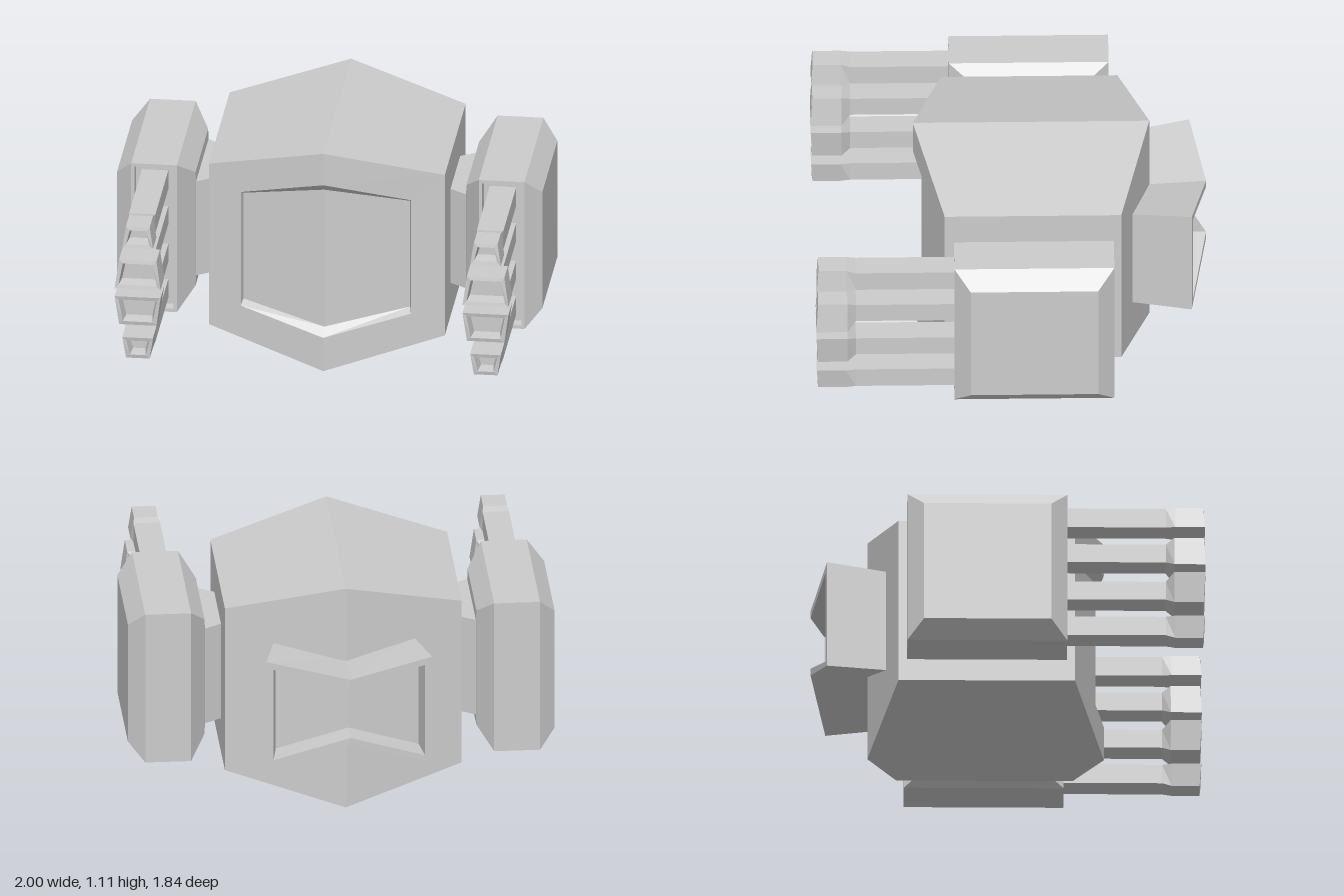
import * as THREE from 'three';

const material = new THREE.MeshStandardMaterial({ color: 0xcccccc, flatShading: true });

// Joins rings of points (clockwise seen from the end they run to) into a faceted solid.
// skip(ringIndex, edgeIndex) leaves a face out; mirror reflects the solid in x.
function loft(name, rings, { startCap = true, endCap = true, skip = () => false, mirror = false } = {}) {
  const pos = [];
  const tri = (a, b, c) => {
    for (const p of mirror ? [a, c, b] : [a, b, c]) pos.push(mirror ? -p[0] : p[0], p[1], p[2]);
  };
  const n = rings[0].length;
  for (let r = 0; r < rings.length - 1; r++) {
    const a = rings[r], b = rings[r + 1];
    for (let i = 0; i < n; i++) {
      if (skip(r, i)) continue;
      const j = (i + 1) % n;
      tri(a[i], b[i], a[j]);
      tri(a[j], b[i], b[j]);
    }
  }
  const first = rings[0], last = rings[rings.length - 1];
  for (let i = 1; i < n - 1; i++) {
    if (startCap) tri(first[0], first[i], first[i + 1]);
    if (endCap) tri(last[0], last[i + 1], last[i]);
  }
  const geometry = new THREE.BufferGeometry();
  geometry.setAttribute('position', new THREE.Float32BufferAttribute(pos, 3));
  geometry.computeVertexNormals();
  const mesh = new THREE.Mesh(geometry, material);
  mesh.name = name;
  return mesh;
}

// Six-sided ring folded along x = 0: half width, side and centre heights, side and centre depth
const hex = (x, sideTop, sideBottom, midTop, midBottom, sideZ, midZ) => [
  [0, midTop, midZ], [x, sideTop, sideZ], [x, sideBottom, sideZ],
  [0, midBottom, midZ], [-x, sideBottom, sideZ], [-x, sideTop, sideZ],
];

// Four-sided ring facing +z, with separate top and bottom half widths
const trapezoid = (x, top, bottom, y0, y1, z) => [
  [x - top, y1, z], [x + top, y1, z], [x + bottom, y0, z], [x - bottom, y0, z],
];

// Rectangular ring facing +x
const slab = (x, y0, y1, z0, z1) => [[x, y1, z1], [x, y1, z0], [x, y0, z0], [x, y0, z1]];

const MID_Y = 0.56;
const POD_X = 0.818;

// Gun barrel with a flared, hollow muzzle; y is measured from the pod's middle
function barrel(shaft, muzzle, top, bottom, flareStart, flareEnd, tip) {
  const [m0, m1] = muzzle;
  const lip = 0.018;
  const front = trapezoid(0, top, bottom, m0, m1, tip);
  front[2][2] = front[3][2] = tip + 0.008;
  return loft('barrel', [
    trapezoid(0, 0.062, 0.062, ...shaft, 0.2),
    trapezoid(0, 0.062, 0.062, ...shaft, flareStart),
    trapezoid(0, top, bottom, m0, m1, flareEnd),
    front,
    trapezoid(0, top - lip, bottom - lip, m0 + lip, m1 - lip, tip + 0.004),
    trapezoid(0, top - lip * 1.5, bottom - lip * 1.5, m0 + lip * 1.4, m1 - lip * 1.4, tip - 0.06),
  ]);
}

function weaponPod(mirror) {
  const pod = new THREE.Group();
  pod.name = mirror ? 'rightPod' : 'leftPod';

  // Mount and bevelled housing, left open where the front panel sits
  pod.add(loft('podHousing', [
    slab(0.54, 0.32, 0.8, -0.28, 0.08),
    slab(0.635, 0.32, 0.8, -0.345, 0.145),
    slab(0.637, 0.27, 0.85, -0.35, 0.15),
    slab(0.71, 0.185, 0.935, -0.472, 0.275),
    slab(0.925, 0.185, 0.935, -0.472, 0.275),
    slab(1, 0.262, 0.855, -0.395, 0.2),
  ], { mirror, skip: (r, i) => r === 3 && i === 3 }));

  // Front panel with its recessed bay
  pod.add(loft('podFront', [
    trapezoid(0.8175, 0.1075, 0.1075, 0.185, 0.935, 0.275),
    trapezoid(POD_X, 0.092, 0.092, 0.202, 0.918, 0.275),
    trapezoid(POD_X, 0.09, 0.09, 0.205, 0.915, 0.225),
  ], { mirror, startCap: false }));

  // Two barrels above the middle, two turned over below it
  for (const turn of [0, Math.PI]) {
    const pair = new THREE.Group();
    pair.name = turn ? 'lowerBarrels' : 'upperBarrels';
    pair.add(
      barrel([0.23, 0.325], [0.228, 0.335], 0.056, 0.072, 0.735, 0.78, 0.91),
      barrel([0.05, 0.142], [0.02, 0.165], 0.088, 0.108, 0.735, 0.775, 0.912),
    );
    pair.position.set(mirror ? -POD_X : POD_X, MID_Y, 0);
    pair.rotation.z = turn;
    pod.add(pair);
  }
  return pod;
}

export function createModel() {
  const model = new THREE.Group();
  model.name = 'podCraft';

  // Hull, ending at the front in a sunken window
  model.add(loft('hull', [
    hex(0.555, 0.97, 0.15, 1.11, 0, -0.51, -0.65),
    hex(0.555, 0.97, 0.15, 1.11, 0, 0.315, 0.455),
    hex(0.4, 0.85, 0.27, 0.95, 0.17, 0.354, 0.455),
    hex(0.392, 0.83, 0.29, 0.91, 0.21, 0.316, 0.415),
  ]));

  // Pinched rear nozzle, built facing forwards and turned round
  const nozzle = loft('rearNozzle', [
    hex(0.325, 0.808, 0.305, 0.74, 0.42, 0.53, 0.6),
    hex(0.388, 0.833, 0.3, 0.76, 0.43, 0.842, 0.915),
    hex(0.355, 0.795, 0.337, 0.725, 0.465, 0.848, 0.915),
    hex(0.335, 0.785, 0.345, 0.72, 0.47, 0.73, 0.8),
  ]);
  nozzle.rotation.y = Math.PI;
  model.add(nozzle);

  model.add(weaponPod(false), weaponPod(true));
  return model;
}
